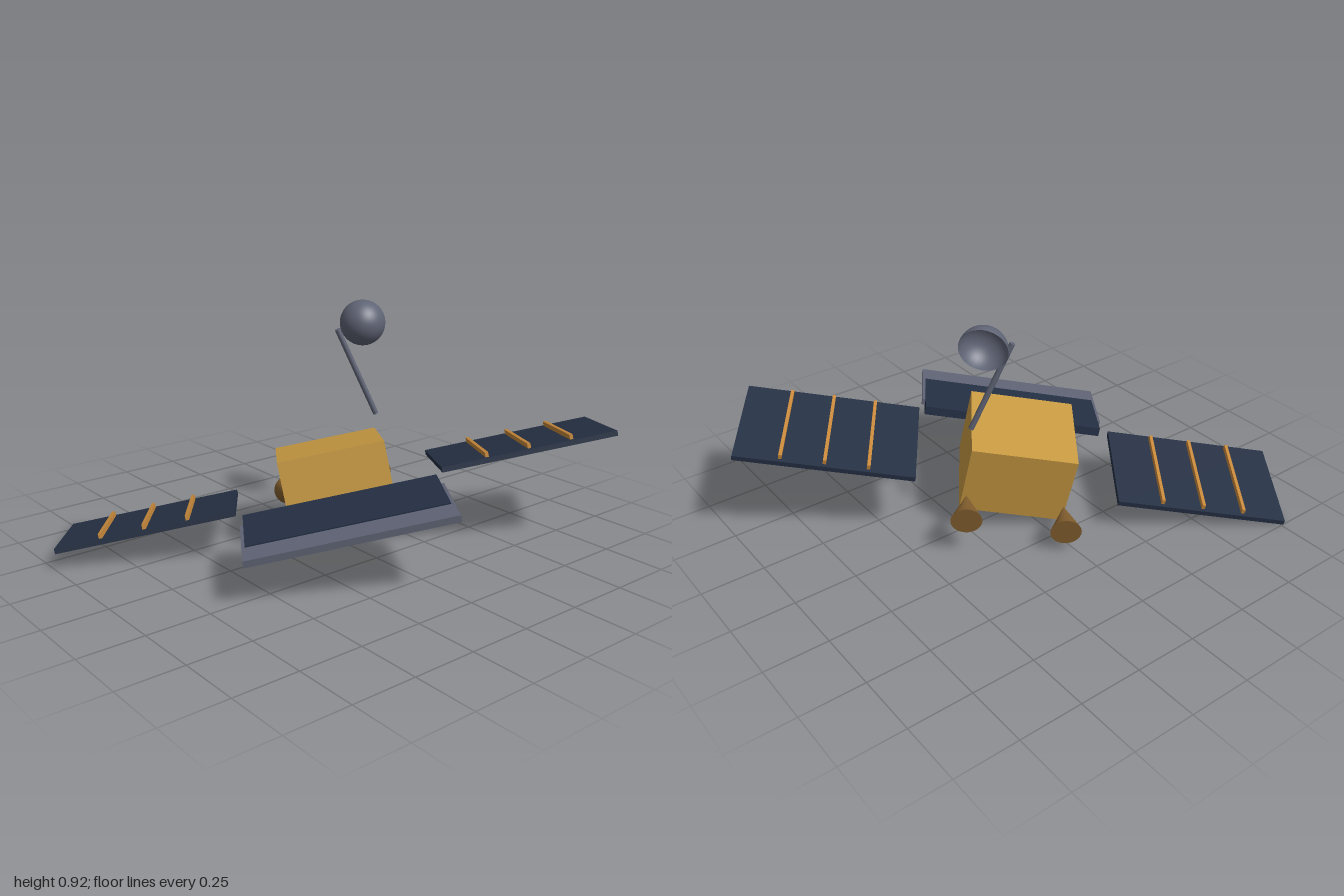
import * as THREE from 'three';

const paint = (name, color, extra = {}) => {
  const m = new THREE.MeshStandardMaterial({ color, ...extra });
  m.name = name;
  return m;
};

export function createModel() {
  const gold = paint('gold foil', 0xc89a42);
  const orange = paint('orange gold', 0xc8893a);
  const bronze = paint('bronze', 0x85602f);
  const navy = paint('navy panel', 0x253044);
  const grey = paint('slate grey', 0x5f6475);
  const dishGrey = paint('dish grey', 0x5f6475, { side: THREE.DoubleSide });

  const model = new THREE.Group();
  model.name = 'satellite';

  const add = (parent, name, geometry, material, x = 0, y = 0, z = 0) => {
    const mesh = new THREE.Mesh(geometry, material);
    mesh.name = name;
    mesh.position.set(x, y, z);
    parent.add(mesh);
    return mesh;
  };
  const box = (w, h, d) => new THREE.BoxGeometry(w, h, d);

  // Tilted frame carrying the body, wings, thrusters and rear panel
  const craft = new THREE.Group();
  craft.name = 'craft';
  const zAxis = new THREE.Vector3(-0.57, 0.154, 0.807).normalize();
  const yAxis = zAxis.clone().cross(new THREE.Vector3(0.82, 0.184, 0.542)).normalize();
  const xAxis = yAxis.clone().cross(zAxis);
  craft.quaternion.setFromRotationMatrix(new THREE.Matrix4().makeBasis(xAxis, yAxis, zAxis));
  craft.position.y = 0.24;
  model.add(craft);

  add(craft, 'body', box(0.41, 0.3, 0.362), gold);

  for (const s of [1, -1]) {
    const side = s > 0 ? 'left' : 'right';
    // Solar wing with three raised ribs
    add(craft, side + 'SolarWing', box(0.68, 0.02, 0.42), navy, s * 0.735);
    for (const x of [0.574, 0.738, 0.902]) {
      add(craft, side + 'WingRib', box(0.013, 0.02, 0.39), orange, s * x, 0.019, 0);
    }
    // Thruster cone, wide end away from the body
    const cone = add(craft, side + 'Thruster', new THREE.ConeGeometry(0.06, 0.138, 24),
      bronze, s * 0.191, -0.06, -0.269);
    cone.rotation.x = Math.PI / 2;
  }

  // Sloping panel with a thinner plate running through it
  const flap = new THREE.Group();
  flap.name = 'slopingPanel';
  flap.position.set(0, -0.05, 0.365);
  flap.rotation.x = 0.21;
  craft.add(flap);
  add(flap, 'panelSlab', box(0.735, 0.036, 0.264), navy);
  add(flap, 'panelPlate', box(0.76, 0.026, 0.29), grey, 0, 0, 0.09);

  // Antenna mast
  const up = new THREE.Vector3(0, 1, 0);
  const foot = new THREE.Vector3(0.238, 0.468, -0.034);
  const tip = new THREE.Vector3(0.105, 0.815, -0.115);
  const along = tip.clone().sub(foot);
  const mast = add(model, 'antennaMast',
    new THREE.CylinderGeometry(0.011, 0.011, along.length(), 12), grey);
  mast.position.copy(foot).lerp(tip, 0.5);
  mast.quaternion.setFromUnitVectors(up, along.normalize());

  // Open hemispherical dish
  const dish = add(model, 'antennaDish',
    new THREE.SphereGeometry(0.091, 32, 14, 0, Math.PI * 2, 0, Math.PI / 2),
    dishGrey, 0.235, 0.826, -0.116);
  dish.quaternion.setFromUnitVectors(up, new THREE.Vector3(-0.72, 0.2, 0.66).normalize());

  return model;
}
